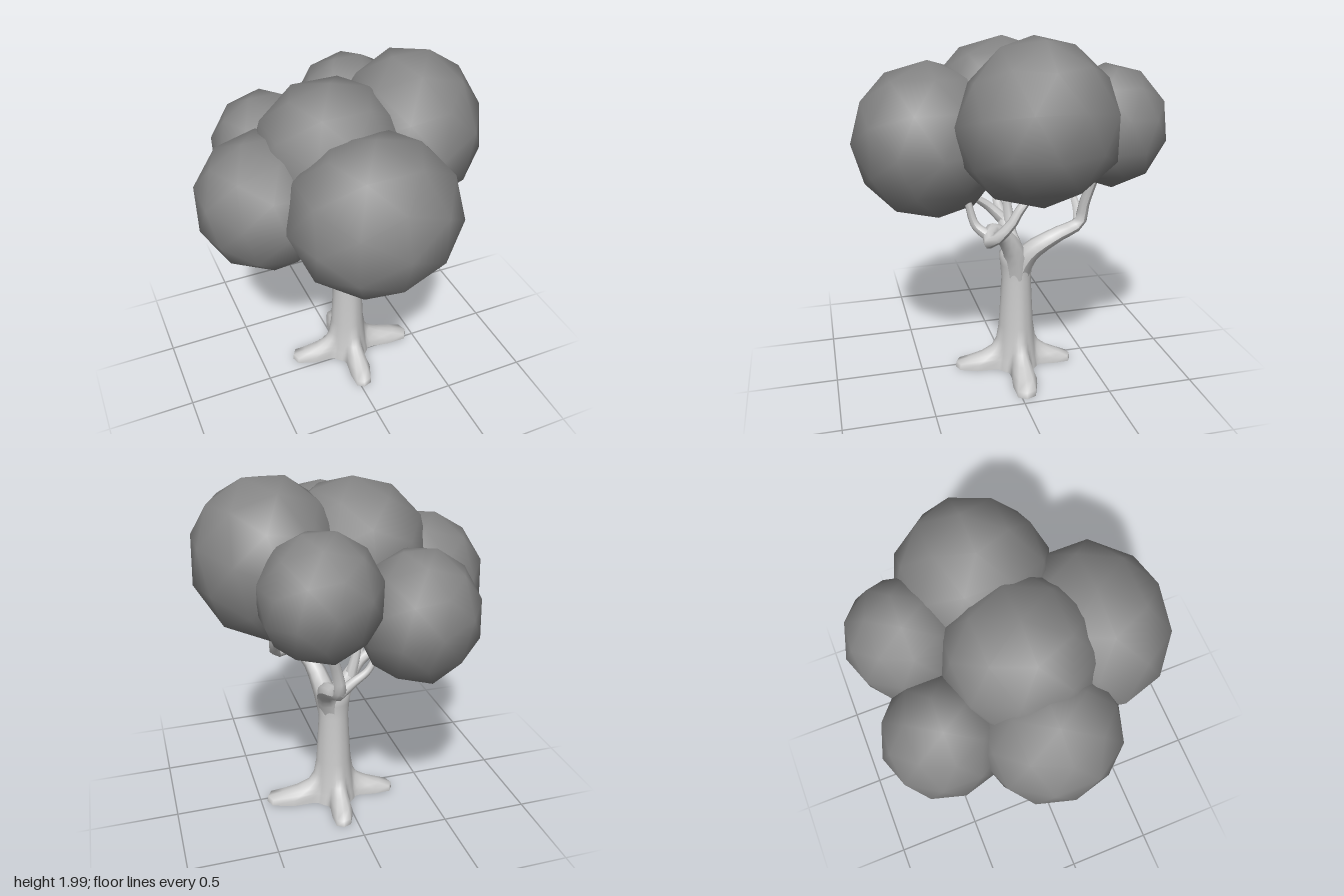
import * as THREE from 'three';
import { mergeVertices } from 'three/addons/utils/BufferGeometryUtils.js';

const bark = new THREE.MeshStandardMaterial({ color: 0xcccccc, side: THREE.DoubleSide });
const leaf = new THREE.MeshStandardMaterial({ color: 0x858585 });

function add(parent, name, geometry, material) {
  const mesh = new THREE.Mesh(geometry, material);
  mesh.name = name;
  parent.add(mesh);
  return mesh;
}

// Low-poly ball with smooth normals, turned about z and narrowed front to back towards the top
function leafBall(turn, taper) {
  const g = new THREE.IcosahedronGeometry(1, 1);
  g.deleteAttribute('uv');
  g.deleteAttribute('normal');
  const ball = mergeVertices(g, 1e-4).rotateZ(turn);
  const pos = ball.attributes.position;
  for (let i = 0; i < pos.count; i++) pos.setZ(i, pos.getZ(i) * (1 - taper * pos.getY(i)));
  ball.computeVertexNormals();
  return ball;
}

// Trunk: rings whose radius swells into four roots near the ground
function trunkGeometry() {
  const seg = 48, quarter = Math.PI / 2;
  const reachScale = [1.1, 0.92, 0.92, 0.8]; // roots towards +x, +z, -x, -z
  // [height, trunk radius, root reach]
  const rings = [
    [0, 0.135, 0.25], [0.035, 0.13, 0.25], [0.06, 0.125, 0.18], [0.09, 0.12, 0.1],
    [0.13, 0.115, 0.035], [0.18, 0.108, 0.012], [0.27, 0.1, 0.004], [0.57, 0.086, 0],
    [0.66, 0.094, 0], [0.72, 0.1, 0], [0.74, 0.08, 0], [0.745, 0.001, 0],
  ];
  const pos = [], index = [];
  rings.forEach(([y, r, reach], j) => {
    for (let i = 0; i < seg; i++) {
      const a = (i / seg) * Math.PI * 2;
      const root = Math.round(a / quarter);
      const lobe = Math.exp(-Math.pow(Math.abs(a - root * quarter) / 0.3, 3));
      const R = r + lobe * reach * reachScale[root % 4];
      const bend = a + 0.4 * lobe * reach;
      pos.push(0.055 + R * Math.cos(bend), y, -0.065 + R * Math.sin(bend));
      if (j === 0) continue;
      const n = (i + 1) % seg, lo = (j - 1) * seg, hi = j * seg;
      index.push(lo + i, hi + i, lo + n, lo + n, hi + i, hi + n);
    }
  });
  const g = new THREE.BufferGeometry();
  g.setAttribute('position', new THREE.Float32BufferAttribute(pos, 3));
  g.setIndex(index);
  g.computeVertexNormals();
  return g;
}

// Tapered tube along a list of points
function limb(points, r0, r1) {
  const curve = new THREE.CatmullRomCurve3(points.map((p) => new THREE.Vector3(...p)));
  const rings = 16, sides = 8;
  const g = new THREE.TubeGeometry(curve, rings, 1, sides);
  const pos = g.attributes.position, v = new THREE.Vector3();
  for (let i = 0; i < pos.count; i++) {
    const t = Math.floor(i / (sides + 1)) / rings;
    const c = curve.getPointAt(t);
    v.fromBufferAttribute(pos, i).sub(c);
    v.multiplyScalar(r1 + (r0 - r1) * Math.pow(1 - t, 2)).add(c);
    pos.setXYZ(i, v.x, v.y, v.z);
  }
  g.computeVertexNormals();
  return g;
}

export function createModel() {
  const tree = new THREE.Group();
  tree.name = 'tree';

  add(tree, 'trunkAndRoots', trunkGeometry(), bark);

  // Main branches and the twigs forking off them
  const branches = new THREE.Group();
  branches.name = 'branches';
  tree.add(branches);
  const limbs = [
    ['leftBranch', [[0.07, 0.6, -0.065], [0.11, 0.74, -0.04], [0.16, 0.88, 0.04], [0.23, 0.94, 0.13],
      [0.33, 0.91, 0.15], [0.37, 1.02, 0.05], [0.37, 1.13, -0.02], [0.36, 1.2, -0.13]], 0.078, 0.024],
    ['leftTwig', [[0.27, 0.93, 0.15], [0.23, 0.98, 0.21], [0.21, 1.12, 0.25]], 0.032, 0.02],
    ['backBranch', [[0.06, 0.6, -0.07], [0.11, 0.74, -0.13], [0.14, 0.84, -0.27], [0.12, 0.9, -0.42],
      [0.14, 1.02, -0.44], [0.2, 1.22, -0.48]], 0.078, 0.028],
    ['backTwig', [[0.12, 0.9, -0.42], [0.05, 0.96, -0.43], [-0.03, 1.02, -0.43], [-0.09, 1.13, -0.42]], 0.034, 0.018],
    ['rightBranch', [[0.04, 0.6, -0.065], [-0.01, 0.74, -0.06], [-0.11, 0.87, -0.03], [-0.2, 0.93, -0.02],
      [-0.26, 1.0, -0.02], [-0.31, 1.12, -0.02]], 0.078, 0.022],
    ['rightTwig', [[-0.11, 0.87, -0.03], [-0.13, 0.95, 0.05], [-0.12, 1.02, 0.14], [-0.12, 1.1, 0.25]], 0.036, 0.02],
    ['middleTwig', [[-0.05, 0.8, -0.06], [-0.09, 0.95, -0.05], [-0.12, 1.2, -0.02]], 0.036, 0.022],
  ];
  for (const [name, points, r0, r1] of limbs) add(branches, name, limb(points, r0, r1), bark);

  // Overlapping leaf clumps: centre, radii, turn, taper
  const crown = new THREE.Group();
  crown.name = 'crown';
  tree.add(crown);
  const clumps = [
    ['frontClump', [-0.01, 1.41, 0.41], [0.465, 0.43, 0.425], 0, 0],
    ['rightClump', [-0.45, 1.355, 0], [0.375, 0.375, 0.385], 0.27, 0],
    ['leftClump', [0.42, 1.575, -0.08], [0.4, 0.435, 0.43], -0.27, 0.12],
    ['middleClump', [-0.07, 1.545, -0.01], [0.42, 0.405, 0.42], 0, 0],
    ['backRightClump', [-0.265, 1.335, -0.51], [0.325, 0.36, 0.33], 0.27, 0],
    ['backLeftClump', [0.25, 1.495, -0.52], [0.32, 0.335, 0.315], 0.27, 0],
  ];
  for (const [name, centre, radii, turn, taper] of clumps) {
    const clump = add(crown, name, leafBall(turn, taper), leaf);
    clump.position.set(...centre);
    clump.scale.set(...radii);
  }
  return tree;
}
